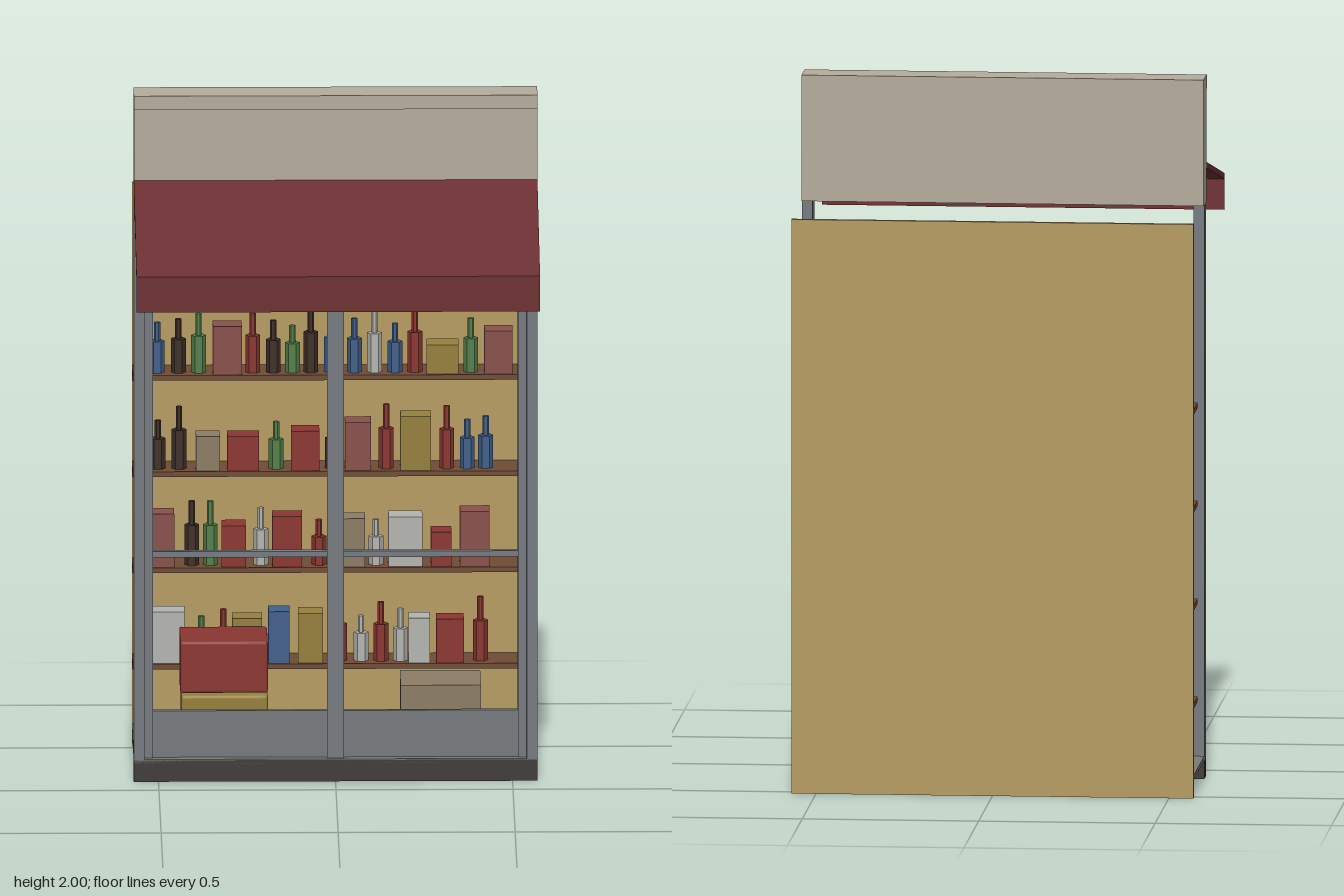
import * as THREE from 'three';
import { RoundedBoxGeometry } from 'three/addons/geometries/RoundedBoxGeometry.js';

const COLORS = {
  wall: 0xb5ad9c, awning: 0x6e3033, metal: 0x777b80, kick: 0x777a7e, plinth: 0x403c3a,
  back: 0xb89c62, floor: 0x7d7a72, shelf: 0x704c36,
  blue: 0x41608a, brown: 0x40302a, green: 0x53804a, rose: 0x8a504c, red: 0x8c3632,
  yellow: 0x96803e, white: 0xb4b4b0, taupe: 0x8c7d66,
};
const materials = {};
for (const key in COLORS) {
  materials[key] = new THREE.MeshStandardMaterial({ color: COLORS[key], flatShading: true });
}

// Box given by its extents on each axis
function box(parent, name, color, [x0, x1], [y0, y1], [z0, z1]) {
  const mesh = new THREE.Mesh(new THREE.BoxGeometry(x1 - x0, y1 - y0, z1 - z0), materials[color]);
  mesh.position.set((x0 + x1) / 2, (y0 + y1) / 2, (z0 + z1) / 2);
  mesh.name = name;
  parent.add(mesh);
  return mesh;
}

// Crate with softly rounded edges
function crate(parent, name, color, [x0, x1], [y0, y1], [z0, z1]) {
  const geometry = new RoundedBoxGeometry(x1 - x0, y1 - y0, z1 - z0, 2, 0.008);
  const mesh = new THREE.Mesh(geometry, materials[color]);
  mesh.position.set((x0 + x1) / 2, (y0 + y1) / 2, (z0 + z1) / 2);
  mesh.name = name;
  parent.add(mesh);
}

// Six-sided bottle: body with a thin neck
function bottle(parent, color, x, y, height) {
  const group = new THREE.Group();
  group.name = 'bottle';
  const bodyHeight = height * 0.63;
  const body = new THREE.Mesh(new THREE.CylinderGeometry(0.021, 0.021, bodyHeight, 6), materials[color]);
  body.position.y = bodyHeight / 2;
  body.rotation.y = Math.PI / 6;
  body.name = 'bottleBody';
  const neck = new THREE.Mesh(new THREE.CylinderGeometry(0.009, 0.009, height - bodyHeight, 6), materials[color]);
  neck.position.y = (height + bodyHeight) / 2;
  neck.rotation.y = Math.PI / 6;
  neck.name = 'bottleNeck';
  group.add(body, neck);
  group.position.set(x, y, -0.433);
  parent.add(group);
}

// Goods per shelf: bottles are [color, x, height], cartons [color, x, height, width]
const SHELVES = [
  { top: 1.11, goods: [
    ['blue', -0.5, 0.145], ['brown', -0.44, 0.155], ['green', -0.383, 0.17], ['rose', -0.302, 0.14, 0.082],
    ['red', -0.23, 0.17], ['brown', -0.172, 0.15], ['green', -0.118, 0.135], ['brown', -0.066, 0.185],
    ['blue', -0.007, 0.16], ['blue', 0.057, 0.155], ['white', 0.114, 0.18], ['blue', 0.172, 0.14],
    ['red', 0.228, 0.185], ['yellow', 0.306, 0.085, 0.09], ['green', 0.386, 0.155], ['rose', 0.464, 0.125, 0.08],
  ] },
  { top: 0.83, goods: [
    ['brown', -0.498, 0.14], ['brown', -0.438, 0.18], ['taupe', -0.357, 0.1, 0.068], ['red', -0.257, 0.1, 0.09],
    ['green', -0.164, 0.135], ['red', -0.082, 0.115, 0.08], ['brown', -0.005, 0.14], ['rose', 0.067, 0.14, 0.074],
    ['red', 0.147, 0.185], ['yellow', 0.23, 0.157, 0.086], ['red', 0.318, 0.18], ['blue', 0.376, 0.14],
    ['blue', 0.428, 0.15],
  ] },
  { top: 0.55, goods: [
    ['rose', -0.487, 0.155, 0.07], ['brown', -0.402, 0.185], ['green', -0.35, 0.185], ['red', -0.284, 0.12, 0.068],
    ['white', -0.207, 0.165], ['red', -0.133, 0.147, 0.084], ['red', -0.043, 0.13], ['taupe', 0.052, 0.14, 0.07],
    ['white', 0.118, 0.13], ['white', 0.201, 0.145, 0.096], ['red', 0.302, 0.1, 0.058], ['rose', 0.397, 0.16, 0.084],
  ] },
  { top: 0.27, goods: [
    ['white', -0.47, 0.15, 0.095], ['green', -0.375, 0.13], ['red', -0.313, 0.15], ['yellow', -0.246, 0.13, 0.084],
    ['blue', -0.156, 0.15, 0.06], ['yellow', -0.067, 0.145, 0.07], ['red', 0.015, 0.17], ['white', 0.076, 0.13],
    ['red', 0.132, 0.17], ['white', 0.187, 0.15], ['white', 0.24, 0.13, 0.06], ['red', 0.327, 0.127, 0.078],
    ['red', 0.413, 0.185],
  ] },
];

export function createModel() {
  const model = new THREE.Group();
  model.name = 'shopFront';
  const W = [-0.57, 0.57];

  // Fascia, cornice and awning
  box(model, 'fascia', 'wall', W, [1.64, 1.96], [-0.185, -0.09]);
  box(model, 'cornice', 'wall', W, [1.96, 2], [-0.185, -0.08]);
  const profile = new THREE.Shape([
    [-0.09, 1.752], [0.53, 1.625], [0.53, 1.522], [0.52, 1.522], [0.52, 1.61], [-0.09, 1.735],
  ].map(([z, y]) => new THREE.Vector2(-z, y)));
  const awning = new THREE.Mesh(
    new THREE.ExtrudeGeometry(profile, { depth: 1.14, bevelEnabled: false }), materials.awning);
  awning.rotation.y = Math.PI / 2;
  awning.position.x = -0.57;
  awning.name = 'awning';
  model.add(awning);

  // Window frame: posts, jambs, mullion, rails and kick panel
  const frame = new THREE.Group();
  frame.name = 'windowFrame';
  model.add(frame);
  box(frame, 'plinth', 'plinth', W, [0, 0.062], [-0.165, -0.1]);
  for (const s of [-1, 1]) {
    const post = box(frame, 'post', 'metal', [-0.015, 0.015], [0.062, 1.64], [-0.165, -0.1]);
    post.position.x = s * 0.555;
    const jamb = box(frame, 'jamb', 'metal', [-0.0125, 0.0125], [0.062, 1.44], [-0.15, -0.115]);
    jamb.position.x = s * 0.5275;
  }
  box(frame, 'mullion', 'metal', [-0.024, 0.024], [0.062, 1.44], [-0.15, -0.112]);
  box(frame, 'transom', 'metal', [-0.54, 0.54], [1.44, 1.47], [-0.16, -0.105]);
  box(frame, 'topRail', 'metal', [-0.515, 0.515], [1.415, 1.44], [-0.15, -0.115]);
  box(frame, 'middleRail', 'metal', [-0.515, 0.515], [0.647, 0.664], [-0.142, -0.122]);
  box(frame, 'kickPanel', 'kick', [-0.515, 0.515], [0.062, 0.2], [-0.14, -0.125]);

  // Floor and back wall
  box(model, 'floor', 'floor', W, [0.053, 0.065], [-0.515, -0.1]);
  box(model, 'backPanel', 'back', W, [0, 1.64], [-0.53, -0.515]);

  // Shelves with bottles and cartons
  for (const { top, goods } of SHELVES) {
    const unit = new THREE.Group();
    unit.name = 'stockedShelf';
    model.add(unit);
    box(unit, 'shelf', 'shelf', W, [top - 0.015, top], [-0.515, -0.39]);
    for (const [color, x, height, width] of goods) {
      if (width) box(unit, 'carton', color, [x - width / 2, x + width / 2], [top, top + height], [-0.47, -0.397]);
      else bottle(unit, color, x, top, height);
    }
  }

  // Crates on the floor
  crate(model, 'lowerCrate', 'yellow', [-0.435, -0.19], [0.065, 0.222], [-0.39, -0.21]);
  crate(model, 'upperCrate', 'red', [-0.438, -0.19], [0.23, 0.38], [-0.392, -0.207]);
  box(model, 'sideCrate', 'taupe', [0.185, 0.412], [0.065, 0.25], [-0.392, -0.215]);

  return model;
}
